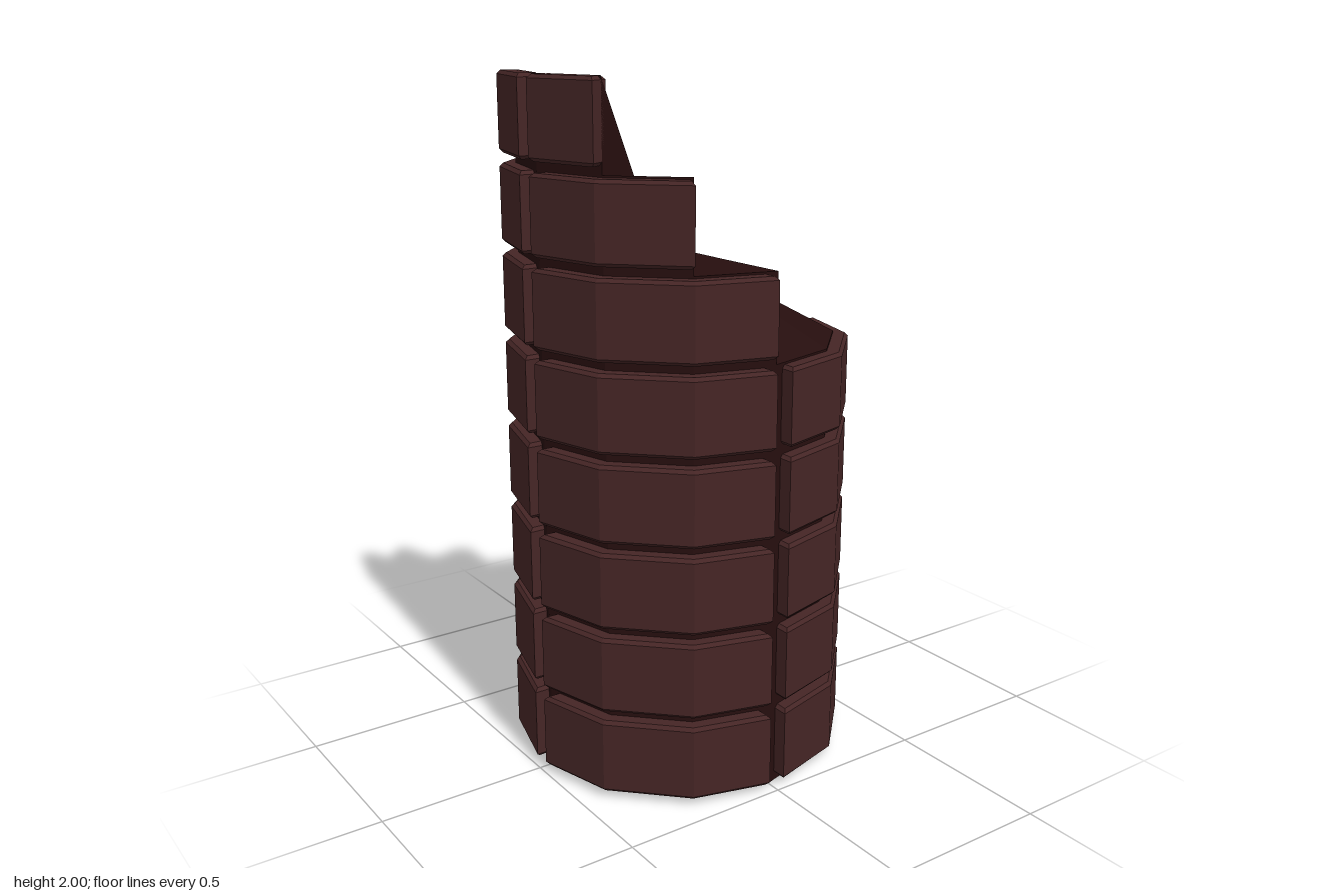
import * as THREE from 'three';

const PITCH = 0.2511, BRICK_H = 0.222, FIRST = 0.02;
const R_OUT = 0.5, R_IN = 0.43, R_CORE = 0.455;
const rowTop = (row) => FIRST + row * PITCH + BRICK_H;

// Curved brick between two angles (degrees), faceted every 30 degrees
function brickGeometry(from, to) {
  const ring = (radius) => {
    const pts = [];
    for (let a = from; a <= to; a += 30) {
      const t = THREE.MathUtils.degToRad(a);
      pts.push(new THREE.Vector2(radius * Math.cos(t), radius * Math.sin(t)));
    }
    // leave a vertical joint wherever a brick meets a quarter line
    const n = pts.length - 1, gap = 0.026;
    const first = pts[0].clone(), last = pts[n].clone();
    const pull = (p, q) => p.clone().add(q.clone().sub(p).setLength(gap));
    if (from % 90 === 0) pts[0] = pull(first, pts[1] === undefined ? last : pts[1]);
    if (to % 90 === 0) pts[n] = pull(last, n === 1 ? first : pts[n - 1]);
    return pts;
  };
  const shape = new THREE.Shape([...ring(R_OUT), ...ring(R_IN).reverse()]);
  const b = 0.01;
  const geo = new THREE.ExtrudeGeometry(shape, {
    depth: BRICK_H - 2 * b, bevelEnabled: true, bevelSegments: 1,
    bevelThickness: b, bevelSize: b, bevelOffset: -b,
  });
  geo.translate(0, 0, b);
  geo.rotateX(-Math.PI / 2);
  return geo;
}

// Twelve-sided core whose broken top climbs in steps towards -x
function coreGeometry() {
  const verts = [];
  const tri = (...pts) => pts.forEach((p) => verts.push(...p));
  const quad = (a, b, c, d) => { tri(a, b, c); tri(a, c, d); };
  const at = (i, r, y) => {
    const t = (i * Math.PI) / 6;
    return [r * Math.cos(t), y, -r * Math.sin(t)];
  };
  const MID = 0.22, PEAK = 1.5;
  const rows = [4, 4, 4, 5, 6, 7, 7, 6, 5, 4, 4, 4];
  const rimY = rows.map((r) => Math.min(2, rowTop(r) + 0.006));
  const midY = rimY.map((h) => PEAK + (h - PEAK) * (h < PEAK ? 0.49 : 0.3));
  const centre = [0, PEAK, 0];
  for (let i = 0; i < 12; i++) {
    const h = rimY[i], m = midY[i], j = i + 1, prev = (i + 11) % 12;
    quad(at(i, R_CORE, 0), at(j, R_CORE, 0), at(j, R_CORE, h), at(i, R_CORE, h));
    tri([0, 0, 0], at(j, R_CORE, 0), at(i, R_CORE, 0));
    tri(centre, at(i, MID, m), at(j, MID, m));
    quad(at(i, MID, m), at(i, R_CORE, h), at(j, R_CORE, h), at(j, MID, m));
    // upright face where the height steps
    if (rimY[prev] !== h) {
      const up = h > rimY[prev];
      const lo = up ? prev : i, hi = up ? i : prev;
      const a = at(i, MID, midY[lo]), b = at(i, R_CORE, rimY[lo]);
      const c = at(i, R_CORE, rimY[hi]), d = at(i, MID, midY[hi]);
      if (up) { tri(centre, a, d); quad(a, b, c, d); }
      else { tri(centre, d, a); quad(d, c, b, a); }
    }
  }
  const geo = new THREE.BufferGeometry();
  geo.setAttribute('position', new THREE.Float32BufferAttribute(verts, 3));
  geo.computeVertexNormals();
  return geo;
}

export function createModel() {
  const model = new THREE.Group();
  model.name = 'brokenTower';
  const brickMat = new THREE.MeshStandardMaterial({ color: 0x452525 });
  brickMat.name = 'brick red';
  const coreMat = new THREE.MeshStandardMaterial({ color: 0x260e0e, side: THREE.DoubleSide });
  coreMat.name = 'dark core';

  const core = new THREE.Mesh(coreGeometry(), coreMat);
  core.name = 'core';
  model.add(core);

  // Five full courses, then three that shorten towards the tall side
  for (let row = 0; row < 8; row++) {
    const course = new THREE.Group();
    course.name = `brickCourse${row + 1}`;
    course.position.y = FIRST + row * PITCH;
    const start = 90 + Math.max(0, row - 5) * 30;
    const spans = [[start, 180], [180, 360 - start]];
    if (row < 5) spans.push([0, 90], [270, 360]);
    for (const [from, to] of spans) {
      const brick = new THREE.Mesh(brickGeometry(from, to), brickMat);
      brick.name = 'brick';
      course.add(brick);
    }
    model.add(course);
  }
  return model;
}
